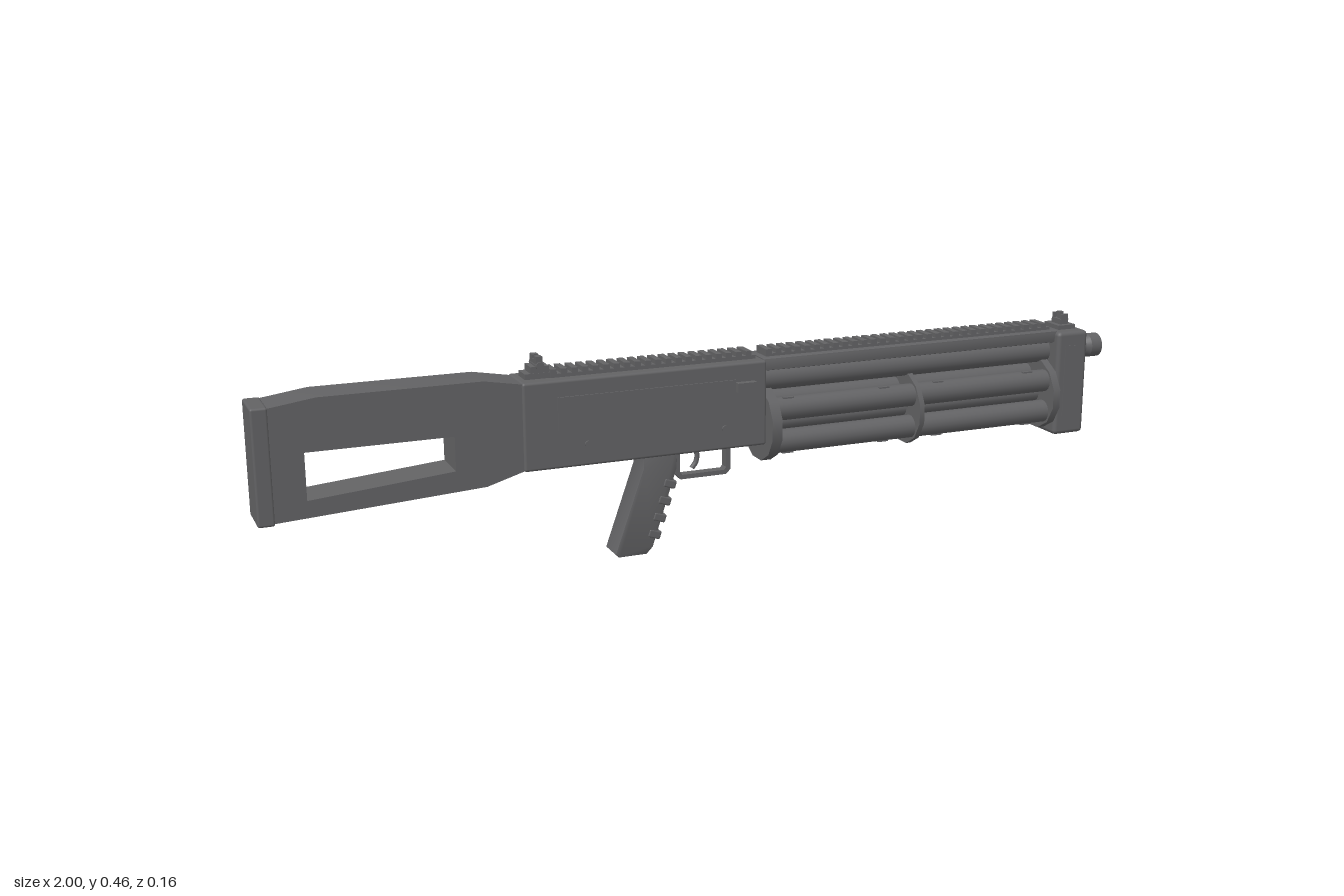
import * as THREE from 'three';
import { RoundedBoxGeometry } from 'three/addons/geometries/RoundedBoxGeometry.js';
import { toCreasedNormals } from 'three/addons/utils/BufferGeometryUtils.js';

export function createModel() {
  const model = new THREE.Group();
  model.name = 'shotgun';
  const metal = new THREE.MeshStandardMaterial({ color: 0x626264 });
  metal.name = 'dark grey';

  const add = (name, geometry, x = 0, y = 0, z = 0, parent = model) => {
    const mesh = new THREE.Mesh(geometry, metal);
    mesh.name = name;
    mesh.position.set(x, y, z);
    parent.add(mesh);
    return mesh;
  };
  // Box given by its limits along x and y and its half width in z
  const box = (name, x0, x1, y0, y1, w, z = 0, parent = model) =>
    add(name, new THREE.BoxGeometry(x1 - x0, y1 - y0, w * 2), (x0 + x1) / 2, (y0 + y1) / 2, z, parent);
  const rounded = (name, x0, x1, y0, y1, w, r) =>
    add(name, new RoundedBoxGeometry(x1 - x0, y1 - y0, w * 2, 2, r), (x0 + x1) / 2, (y0 + y1) / 2);
  // Cylinder running along x
  const rod = (name, x0, x1, y, z, r, sides = 20, parent = model, r1 = r) => {
    const g = new THREE.CylinderGeometry(r1, r, x1 - x0, sides).rotateZ(-Math.PI / 2);
    return add(name, g, (x0 + x1) / 2, y, z, parent);
  };
  // Side profile extruded symmetrically in z
  const profile = (name, points, w, bevel = 0, hole) => {
    const shape = new THREE.Shape(points.map((p) => new THREE.Vector2(...p)));
    if (hole) shape.holes.push(new THREE.Path(hole.map((p) => new THREE.Vector2(...p))));
    const g = new THREE.ExtrudeGeometry(shape, {
      depth: 2 * (w - bevel), bevelEnabled: bevel > 0, bevelSize: bevel, bevelOffset: -bevel,
      bevelThickness: bevel, bevelSegments: 2,
    }).translate(0, 0, -(w - bevel));
    return add(name, toCreasedNormals(g, 0.6));
  };

  // Skeleton stock and butt pad
  profile('stock',
    [[-0.97, 0.18], [-0.53, 0.205], [-0.445, 0.23], [-0.445, 0.415], [-0.53, 0.43], [-0.87, 0.43], [-0.97, 0.416]],
    0.047, 0,
    [[-0.9, 0.22], [-0.9, 0.32], [-0.595, 0.32], [-0.595, 0.246]]);
  rounded('buttPad', -1, -0.965, 0.175, 0.419, 0.049, 0.005);

  // Receiver with raised side panels, pins and safety buttons
  rounded('receiver', -0.45, 0.105, 0.227, 0.418, 0.052, 0.006);
  for (const s of [1, -1]) {
    box('sidePanel', -0.375, 0.03, 0.31, 0.382, 0.002, s * 0.053);
    box('safetyButton', 0.03, 0.075, 0.355, 0.376, 0.008, s * 0.059);
    for (const x of [-0.31, 0.005]) {
      const pin = add('pin', new THREE.CylinderGeometry(0.007, 0.007, 0.006, 12), x, 0.275, s * 0.053);
      pin.rotation.x = Math.PI / 2;
    }
  }

  // Toothed top rails
  const rail = (x0, x1, baseWidth) => {
    const group = new THREE.Group();
    group.name = 'topRail';
    model.add(group);
    box('railBase', x0, x1, 0.41, 0.426, baseWidth, 0, group);
    const count = Math.round((x1 - x0) / 0.0235);
    const pitch = (x1 - x0) / count;
    for (let i = 0; i < count; i++) {
      box('railTooth', x0 + i * pitch, x0 + (i + 0.58) * pitch, 0.425, 0.436, 0.025, 0, group);
    }
  };
  rail(-0.38, 0.09, 0.025);
  rail(0.115, 0.85, 0.025);

  // Upper handguard and barrel with flared muzzle
  profile('handguard', [[0.1, 0.392], [0.86, 0.392], [0.86, 0.42], [0.1, 0.42]], 0.044, 0.005);
  rod('barrel', 0.1, 0.94, 0.367, 0, 0.028, 24);
  rod('muzzleNeck', 0.93, 0.967, 0.367, 0, 0.022, 24);
  rod('muzzleFlare', 0.96, 0.972, 0.367, 0, 0.022, 24, model, 0.028);
  rod('muzzle', 0.972, 1, 0.367, 0, 0.028, 24);

  // Four tube drum held by twelve sided plates
  const drum = new THREE.Group();
  drum.name = 'tubeDrum';
  drum.position.y = 0.265;
  model.add(drum);
  for (const [x0, x1] of [[0.106, 0.13], [0.474, 0.486], [0.832, 0.85]]) {
    const plate = rod('drumPlate', x0, x1, 0, 0, 0.085, 12, drum);
    plate.geometry.rotateX(Math.PI / 12);
  }
  rod('axle', 0.12, 0.85, 0, 0, 0.02, 16, drum);
  for (const sy of [1, -1]) for (const sz of [1, -1]) {
    rod('magazineTube', 0.12, 0.845, sy * 0.037, sz * 0.038, 0.026, 20, drum);
    for (const x of [0.16, 0.4, 0.54, 0.78]) {
      box('tubeStud', x - 0.013, x + 0.013, sy * 0.06 - 0.004, sy * 0.06 + 0.004, 0.004, sz * 0.044, drum);
    }
  }

  // Front cap with side plates
  rounded('frontCap', 0.853, 0.935, 0.17, 0.418, 0.06, 0.01);
  for (const s of [1, -1]) box('capPlate', 0.873, 0.91, 0.215, 0.385, 0.0015, s * 0.06);

  // Front sight
  box('frontSightBase', 0.872, 0.918, 0.415, 0.428, 0.03);
  box('frontSightBlock', 0.884, 0.906, 0.426, 0.44, 0.018);
  box('frontSightPost', 0.89, 0.9, 0.438, 0.456, 0.006);
  for (const s of [1, -1]) box('frontSightEar', 0.886, 0.904, 0.436, 0.452, 0.003, s * 0.016);

  // Rear sight with notch
  box('rearSightBase', -0.435, -0.372, 0.414, 0.43, 0.022);
  box('rearSightBlock', -0.422, -0.382, 0.428, 0.444, 0.021);
  const knob = add('sightKnob', new THREE.CylinderGeometry(0.009, 0.009, 0.052, 12), -0.402, 0.445, 0);
  knob.rotation.x = Math.PI / 2;
  box('rearSightLeaf', -0.41, -0.396, 0.444, 0.457, 0.022);
  for (const s of [1, -1]) box('rearSightEar', -0.41, -0.396, 0.456, 0.465, 0.0085, s * 0.0135);

  // Raked pistol grip with finger ridges
  profile('grip',
    [[-0.245, 0.012], [-0.236, 0.003], [-0.172, 0.003], [-0.157, 0.018], [-0.1, 0.19], [-0.1, 0.235], [-0.178, 0.235], [-0.178, 0.2]],
    0.033, 0.005);
  for (let i = 0; i < 4; i++) {
    const y = 0.047 + i * 0.037;
    const ridge = add('fingerRidge', new RoundedBoxGeometry(0.03, 0.019, 0.069, 2, 0.004),
      -0.157 + (y - 0.018) * 0.331 - 0.006, y, 0);
    ridge.rotation.z = -0.32;
  }

  // Trigger guard and curved trigger
  profile('triggerGuard',
    [[-0.094, 0.235], [-0.094, 0.17], [-0.083, 0.158], [0.026, 0.158], [0.036, 0.168], [0.036, 0.235]],
    0.011, 0,
    [[-0.084, 0.229], [0.026, 0.229], [0.026, 0.174], [0.021, 0.168], [-0.079, 0.168], [-0.084, 0.174]]);
  const curve = new THREE.CatmullRomCurve3([[-0.048, 0.23], [-0.04, 0.21], [-0.042, 0.192], [-0.052, 0.178]]
    .map(([x, y]) => new THREE.Vector3(x, y, 0)));
  add('trigger', new THREE.TubeGeometry(curve, 10, 0.006, 8));

  return model;
}
